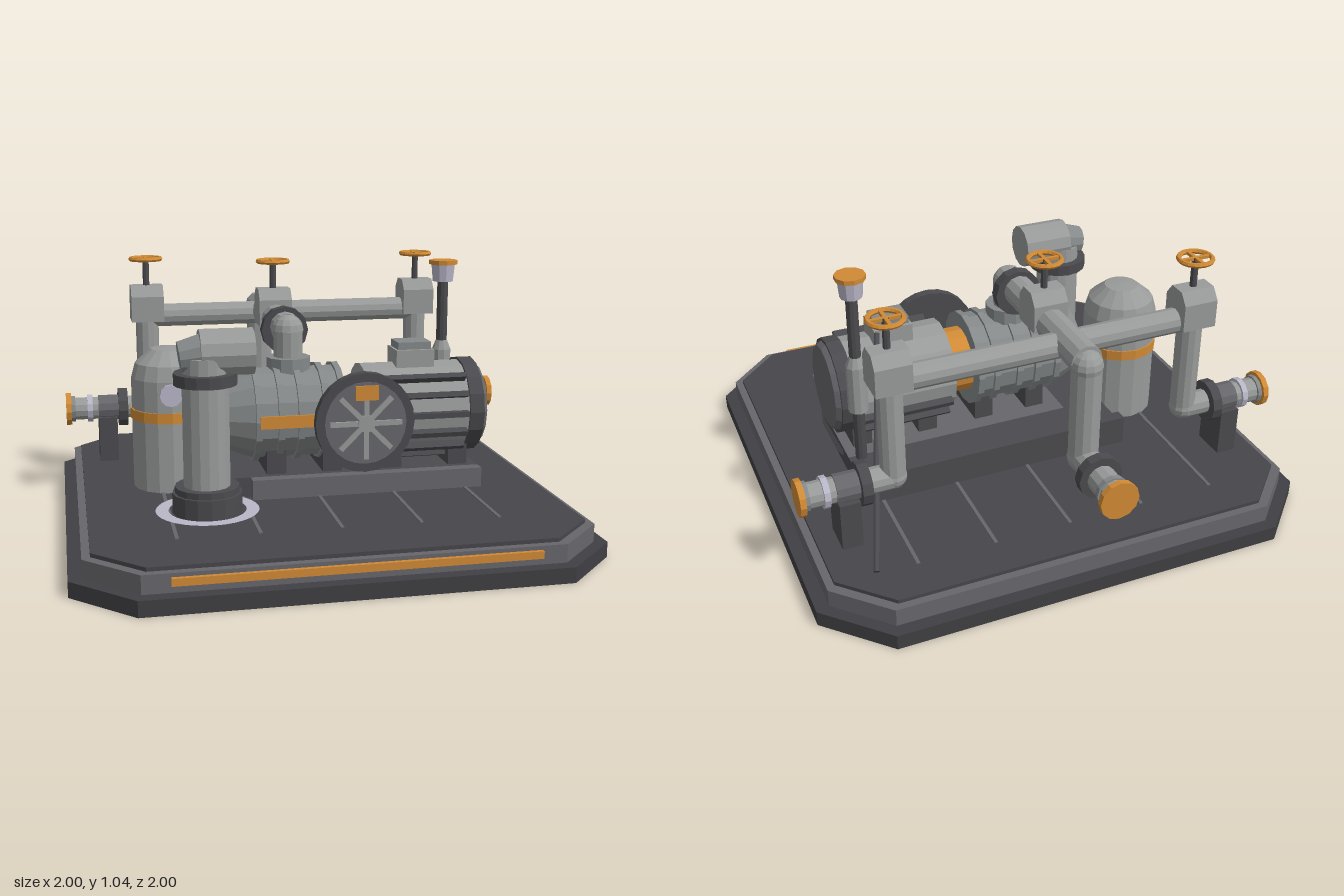
import * as THREE from 'three';

const mat = (name, hex) => {
  const m = new THREE.MeshStandardMaterial({ color: hex, flatShading: true });
  m.name = name;
  return m;
};

export function createModel() {
  const root = new THREE.Group();
  root.name = 'pumpSkid';
  const M = {
    steel: mat('light steel', 0x989b9a),
    casing: mat('casing grey', 0x858989),
    trim: mat('trim grey', 0x67666b),
    dark: mat('dark grey', 0x4b4a4e),
    floor: mat('floor charcoal', 0x47464b),
    plinth: mat('plinth charcoal', 0x403f43),
    orange: mat('safety orange', 0xd08a35),
    pale: mat('pale lilac', 0xb9b6c8),
  };
  const V = (x, y, z) => new THREE.Vector3(x, y, z);
  const add = (name, geo, m, x = 0, y = 0, z = 0, parent = root) => {
    const mesh = new THREE.Mesh(geo, m);
    mesh.name = name;
    mesh.position.set(x, y, z);
    parent.add(mesh);
    return mesh;
  };
  // box from its minimum and maximum corners
  const box = (name, m, a, b) => add(name, new THREE.BoxGeometry(b[0] - a[0], b[1] - a[1], b[2] - a[2]), m,
    (a[0] + b[0]) / 2, (a[1] + b[1]) / 2, (a[2] + b[2]) / 2);
  // round bar from point a to point b
  const bar = (name, m, a, b, r, r2 = r, sides = 12) => {
    const p = V(...a), q = V(...b), d = q.clone().sub(p);
    const mesh = add(name, new THREE.CylinderGeometry(r2, r, d.length(), sides), m);
    mesh.position.copy(p).add(q).multiplyScalar(0.5);
    mesh.quaternion.setFromUnitVectors(V(0, 1, 0), d.normalize());
    return mesh;
  };
  const ball = (name, m, p, r) => add(name, new THREE.SphereGeometry(r, 12, 8), m, ...p);
  // flat slab with cut corners
  const slab = (name, m, h, c, y0, y1) => {
    const pts = [[h, h - c], [h - c, h], [c - h, h], [-h, h - c], [-h, c - h], [c - h, -h], [h - c, -h], [h, c - h]];
    const geo = new THREE.ExtrudeGeometry(new THREE.Shape(pts.map(p => new THREE.Vector2(...p))),
      { depth: y1 - y0, bevelEnabled: false });
    add(name, geo.rotateX(-Math.PI / 2), m, 0, y0, 0);
  };

  // Base
  slab('plinth', M.plinth, 1, 0.225, 0, 0.06);
  slab('plinthStep', M.trim, 0.95, 0.19, 0.06, 0.13);
  slab('deck', M.floor, 0.92, 0.18, 0.13, 0.145);
  for (let i = -2; i <= 2; i++) box('deckSeam', M.trim, [i * 0.305 - 0.007, 0.143, -0.765], [i * 0.305 + 0.007, 0.149, 0.66]);
  box('frontStripe', M.orange, [-0.66, 0.092, 0.962], [0.66, 0.12, 0.978]);

  // Skid frame
  box('skid', M.dark, [-0.44, 0.145, -0.36], [0.68, 0.225, 0.21]);
  box('rearRail', M.dark, [-0.44, 0.225, -0.36], [0.68, 0.265, -0.31]);
  box('saddle', M.trim, [-0.27, 0.145, -0.14], [0.68, 0.225, 0.26]);
  const AY = 0.455, AZ = 0.055;
  const axial = (name, m, x0, x1, r, r2 = r, sides = 16) => bar(name, m, [x0, AY, AZ], [x1, AY, AZ], r, r2, sides);
  for (const x of [-0.2, 0.03, 0.28, 0.56]) box('machineFoot', M.dark, [x, 0.22, AZ - 0.13], [x + 0.08, 0.36, AZ + 0.13]);

  // Pump casing
  axial('pumpNose', M.casing, -0.37, -0.25, 0.14, 0.185);
  axial('pumpCasing', M.casing, -0.25, 0.11, 0.185);
  for (const x of [-0.25, -0.16, -0.08, 0.02, 0.09]) axial('pumpRing', M.casing, x, x + 0.025, 0.198);
  box('pumpPlate', M.orange, [-0.235, 0.43, 0.246], [-0.01, 0.48, 0.255]);

  // Coupling and guard
  axial('couplingGuard', M.orange, 0.115, 0.215, 0.135);

  // Motor
  axial('motorBody', M.steel, 0.21, 0.63, 0.187);
  axial('motorEndBell', M.dark, 0.63, 0.69, 0.197);
  axial('motorEndCap', M.trim, 0.69, 0.71, 0.185, 0.17);
  for (const deg of [45, 23, 0, -23, -45, -68, -112, -135, -158]) {
    const t = deg * Math.PI / 180;
    const fin = add('motorFin', new THREE.BoxGeometry(0.39, 0.022, 0.05), M.dark,
      0.425, AY + Math.sin(t) * 0.191, AZ + Math.cos(t) * 0.191);
    fin.rotation.x = -t;
  }
  box('terminalBox', M.steel, [0.35, 0.62, -0.015], [0.51, 0.7, 0.125]);
  box('terminalLid', M.casing, [0.36, 0.7, 0], [0.5, 0.73, 0.11]);

  // Flywheel at the front
  const fly = (name, m, z0, z1, r, sides = 24) => bar(name, m, [0.17, AY, z0], [0.17, AY, z1], r, r, sides);
  fly('flywheelShaft', M.trim, 0.1, 0.29, 0.025);
  fly('flywheelRim', M.dark, 0.285, 0.325, 0.2);
  fly('flywheelFace', M.trim, 0.32, 0.331, 0.165);
  fly('flywheelHub', M.steel, 0.32, 0.347, 0.035, 12);
  for (let i = 0; i < 4; i++) {
    const s = add('flywheelSpokes', new THREE.BoxGeometry(0.29, 0.02, 0.016), M.steel, 0.17, AY, 0.334);
    s.rotation.z = i * Math.PI / 4;
  }
  box('flywheelPlate', M.orange, [0.123, 0.55, 0.341], [0.216, 0.608, 0.35]);

  // Valve with bonnet, stem and handwheel
  const valve = (x, z) => {
    const g = new THREE.Group();
    g.name = 'valve';
    g.position.set(x, 0, z);
    root.add(g);
    const w = 0.07, s = new THREE.Shape([[-w, 0.76], [w, 0.76], [w, 0.87], [0.035, 0.915], [-0.035, 0.915], [-w, 0.87]]
      .map(p => new THREE.Vector2(...p)));
    const geo = new THREE.ExtrudeGeometry(s, { depth: 0.14, bevelEnabled: false }).translate(0, 0, -0.07).rotateY(Math.PI / 2);
    add('valveBody', geo, M.steel, 0, 0, 0, g);
    add('valveStem', new THREE.CylinderGeometry(0.014, 0.014, 0.13, 8), M.dark, 0, 0.97, 0, g);
    add('handwheel', new THREE.TorusGeometry(0.064, 0.01, 6, 20).rotateX(Math.PI / 2), M.orange, 0, 1.03, 0, g);
    for (const r of [0, Math.PI / 2])
      add('handwheelSpoke', new THREE.BoxGeometry(0.13, 0.012, 0.014), M.orange, 0, 1.03, 0, g).rotation.y = r;
  };

  // Header pipe, mirrored drops and side ports
  const HZ = -0.515;
  bar('headerPipe', M.steel, [-0.6, 0.78, HZ], [0.6, 0.78, HZ], 0.05);
  for (const s of [-1, 1]) {
    valve(s * 0.613, HZ);
    bar('dropPipe', M.steel, [s * 0.613, 0.375, HZ], [s * 0.613, 0.78, HZ], 0.05);
    ball('dropElbow', M.steel, [s * 0.613, 0.375, HZ], 0.053);
    const port = (name, m, x0, x1, r) => bar(name, m, [s * x0, 0.372, HZ], [s * x1, 0.372, HZ], r);
    port('sidePort', M.steel, 0.613, 0.96, 0.05);
    port('sideFlange', M.dark, 0.712, 0.752, 0.085);
    port('sideSleeve', M.trim, 0.752, 0.84, 0.057);
    port('sideRing', M.pale, 0.865, 0.888, 0.062);
    port('sidePortCollar', M.casing, 0.94, 0.958, 0.058);
    port('sidePortCap', M.orange, 0.957, 0.98, 0.072);
    box('portSupport', M.dark, [s * 0.8 - 0.04, 0.145, HZ - 0.07], [s * 0.8 + 0.04, 0.34, HZ + 0.07]);
  }

  // Discharge line from the pump to the rear port
  const DX = -0.085, DZ = -0.68;
  bar('pumpNozzle', M.steel, [DX, 0.58, 0.04], [DX, 0.785, 0.04], 0.06);
  bar('nozzleCollar', M.casing, [DX, 0.62, 0.045], [DX, 0.68, 0.045], 0.09);
  ball('nozzleElbow', M.steel, [DX, 0.785, 0.03], 0.066);
  bar('dischargePipe', M.steel, [DX, 0.79, 0.04], [DX, 0.79, DZ], 0.063);
  bar('dischargeFlange', M.dark, [DX, 0.775, -0.025], [DX, 0.775, -0.07], 0.097);
  valve(DX, -0.305);
  ball('rearElbow', M.steel, [DX, 0.775, DZ], 0.062);
  bar('rearDrop', M.steel, [DX, 0.375, DZ], [DX, 0.775, DZ], 0.058);
  ball('rearLowerElbow', M.steel, [DX, 0.375, DZ], 0.062);
  const rear = (name, m, z0, z1, r) => bar(name, m, [DX, 0.373, -z0], [DX, 0.373, -z1], r);
  rear('rearPort', M.steel, 0.68, 0.96, 0.056);
  rear('rearFlange', M.dark, 0.79, 0.83, 0.088);
  rear('rearRing', M.casing, 0.905, 0.925, 0.064);
  rear('rearPortCap', M.orange, 0.957, 0.98, 0.078);

  // Tank at the left rear
  const TX = -0.565, TZ = -0.05;
  const tankProfile = [[0, 0.145], [0.152, 0.145], [0.152, 0.6], [0.135, 0.66], [0.07, 0.715], [0, 0.72]];
  add('tank', new THREE.LatheGeometry(tankProfile.map(p => new THREE.Vector2(...p)), 16), M.steel, TX, 0, TZ);
  bar('tankBand', M.orange, [TX, 0.433, TZ], [TX, 0.475, TZ], 0.158, 0.158, 16);
  bar('tankGauge', M.pale, [TX - 0.005, 0.55, 0.08], [TX - 0.005, 0.55, 0.115], 0.045);

  // Filter column at the left front
  const CX = -0.462, CZ = 0.355;
  const col = (name, m, y0, y1, r, r2 = r) => bar(name, m, [CX, y0, CZ], [CX, y1, CZ], r, r2, 16);
  add('floorRing', new THREE.RingGeometry(0.15, 0.2, 32).rotateX(-Math.PI / 2), M.pale, CX, 0.152, CZ);
  col('columnBase', M.dark, 0.145, 0.225, 0.135);
  col('columnLowerFlange', M.dark, 0.21, 0.25, 0.125);
  col('columnBody', M.steel, 0.25, 0.75, 0.09);
  col('columnUpperFlange', M.dark, 0.645, 0.69, 0.122);
  bar('columnElbow', M.casing, [-0.56, 0.75, CZ], [-0.45, 0.765, CZ], 0.06, 0.08);
  bar('columnOutlet', M.steel, [-0.485, 0.765, CZ], [-0.28, 0.765, CZ], 0.09);

  // Sensor post and brace
  const post = (name, m, y0, y1, r, r2 = r) => bar(name, m, [0.63, y0, -0.153], [0.63, y1, -0.153], r, r2, 10);
  post('sensorPost', M.dark, 0.145, 0.95, 0.023);
  post('sensorSleeve', M.steel, 0.45, 0.65, 0.04);
  post('sensorSleeveTop', M.steel, 0.65, 0.69, 0.04, 0.024);
  post('sensorHead', M.pale, 0.945, 1.02, 0.043, 0.05);
  post('sensorCap', M.orange, 1.018, 1.036, 0.06);
  bar('braceRod', M.dark, [0.5, 0.69, -0.02], [0.77, 0.165, -0.77], 0.012, 0.012, 8);

  return root;
}
